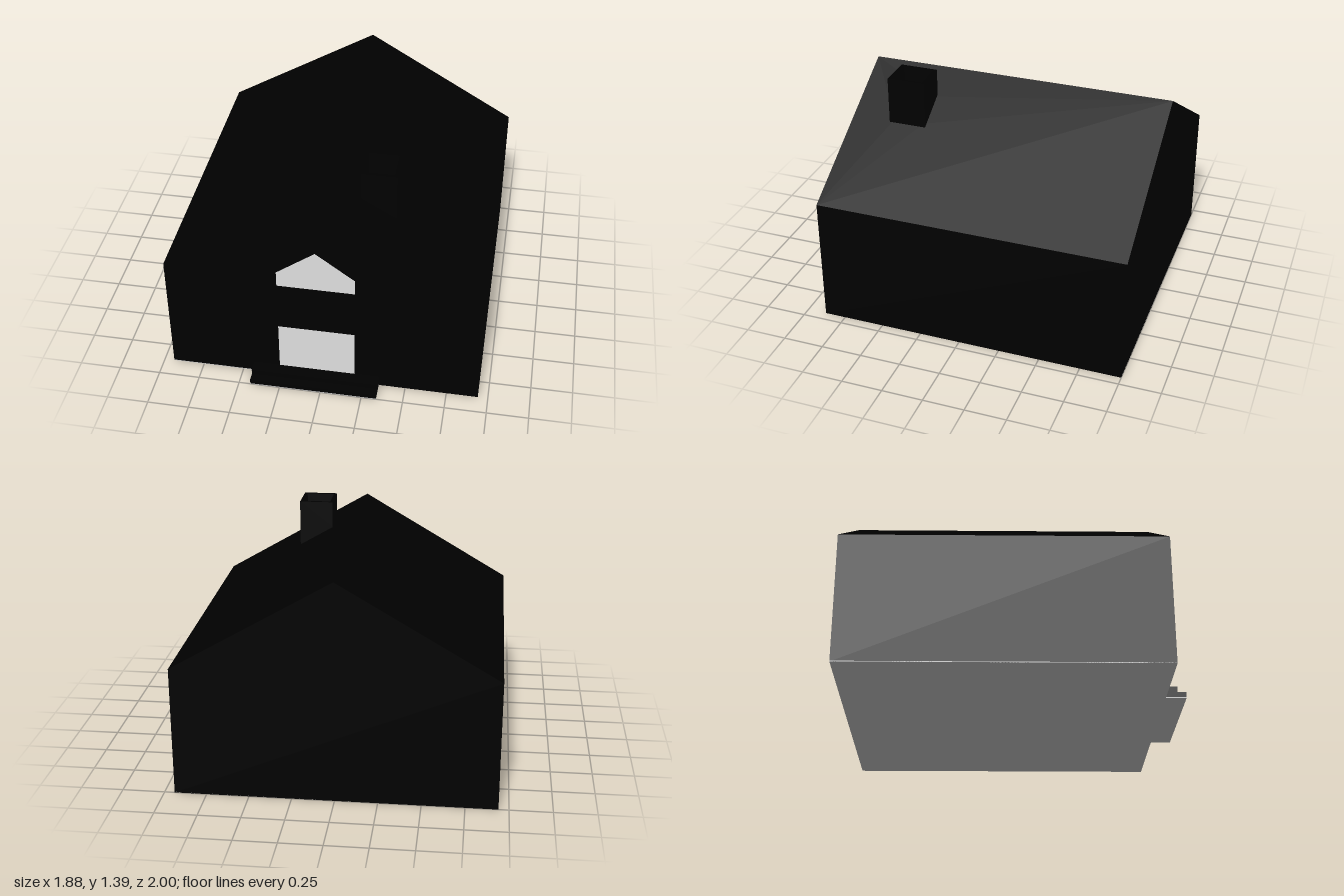
import * as THREE from 'three';

const W = 0.94, BACK = -1, FRONT = 0.88, EAVE = 0.78, RIDGE = 1.33;
const roofY = (x) => RIDGE - (Math.abs(x) * (RIDGE - EAVE)) / W;

const black = new THREE.MeshStandardMaterial({ color: 0x000000, side: THREE.DoubleSide });
const grey = new THREE.MeshStandardMaterial({ color: 0xcccccc, side: THREE.DoubleSide });

const points = (list) => list.map(([x, y]) => new THREE.Vector2(x, y));
const rect = (x0, x1, y0, y1) => [[x0, y0], [x1, y0], [x1, y1], [x0, y1]];

function makeShape(outline, ...holes) {
  const shape = new THREE.Shape(points(outline));
  for (const hole of holes) shape.holes.push(new THREE.Path(points(hole)));
  return shape;
}

// Move vertices vertically by a rule
function bendY(geometry, rule) {
  const p = geometry.attributes.position;
  for (let i = 0; i < p.count; i++) p.setY(i, rule(p.getX(i), p.getY(i)));
  geometry.computeVertexNormals();
  return geometry;
}

export function createModel() {
  const house = new THREE.Group();
  house.name = 'house';
  const add = (name, geometry, material = black) => {
    const mesh = new THREE.Mesh(geometry, material);
    mesh.name = name;
    house.add(mesh);
    return mesh;
  };

  // Gable walls: the front one has a doorway and a gabled window
  const gable = [[-W, 0], [W, 0], [W, EAVE], [0, RIDGE], [-W, EAVE]];
  const door = rect(-0.27, 0.19, 0.07, 0.39);
  const gableWindow = [[-0.27, 0.71], [0.19, 0.71], [0.19, 0.81], [-0.04, 0.98], [-0.27, 0.81]];
  add('frontWall', new THREE.ShapeGeometry(makeShape(gable, door, gableWindow))).position.z = FRONT;
  add('backWall', new THREE.ShapeGeometry(makeShape(gable)).rotateY(Math.PI)).position.z = BACK;

  // Side walls
  for (const side of [-1, 1]) {
    const wall = new THREE.PlaneGeometry(FRONT - BACK, EAVE).rotateY((side * Math.PI) / 2);
    add(side > 0 ? 'leftWall' : 'rightWall', wall)
      .position.set(side * W, EAVE / 2, (FRONT + BACK) / 2);
  }

  // Roof slopes, drawn in plan (second coordinate is -z) and lifted to the pitch
  const flue = rect(0.196, 0.37, -0.615, -0.43);
  const leftSlope = makeShape(rect(0, W, -FRONT, -BACK), flue);
  const rightSlope = makeShape(rect(-W, 0, -FRONT, -BACK));
  for (const [name, shape] of [['leftRoof', leftSlope], ['rightRoof', rightSlope]]) {
    add(name, bendY(new THREE.ShapeGeometry(shape).rotateX(-Math.PI / 2), roofY));
  }

  // Hollow chimney, its foot cut to the roof pitch
  const stack = new THREE.ExtrudeGeometry(
    makeShape(rect(0.18, 0.39, -0.64, -0.41), flue), { depth: 1, bevelEnabled: false });
  stack.rotateX(-Math.PI / 2);
  add('chimney', bendY(stack, (x, y) => (y > 0.5 ? 1.39 : roofY(x))));

  // Floor slab, reaching out under the steps
  const slab = makeShape([[-W, -FRONT], [-0.43, -FRONT], [-0.43, -1], [0.34, -1],
    [0.34, -FRONT], [W, -FRONT], [W, -BACK], [-W, -BACK]]);
  add('floor', new THREE.ExtrudeGeometry(slab, { depth: 0.005, bevelEnabled: false })
    .rotateX(-Math.PI / 2), grey);

  // Front steps
  for (const [name, y0, y1, z1] of [['lowerStep', 0.005, 0.035, 1], ['upperStep', 0.035, 0.07, 0.95]]) {
    add(name, new THREE.BoxGeometry(0.77, y1 - y0, z1 - FRONT))
      .position.set(-0.045, (y0 + y1) / 2, (z1 + FRONT) / 2);
  }

  return house;
}
